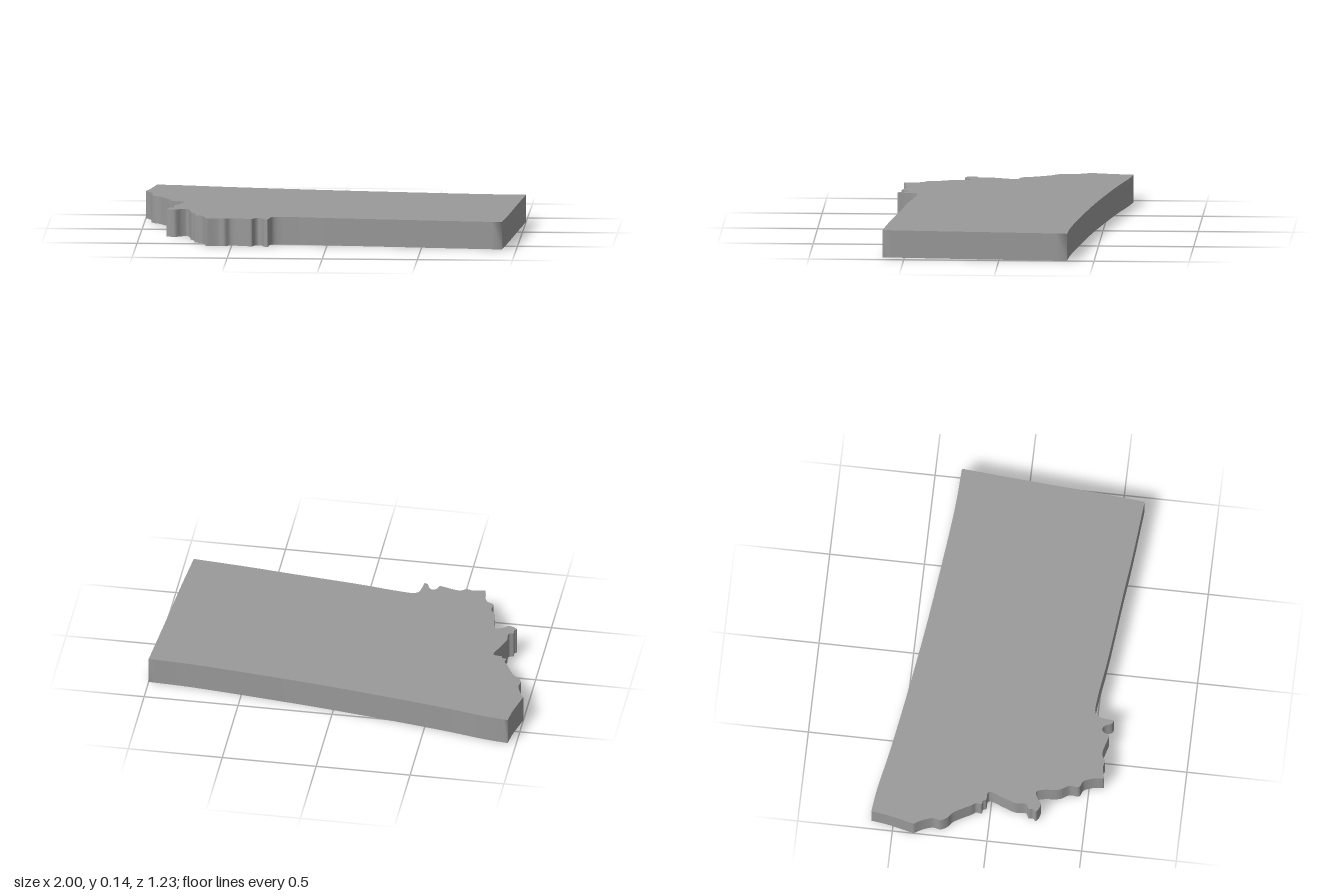
import * as THREE from 'three';

const THICKNESS = 0.145;

// Outline edges as [x, z]; each starts where the previous one ends
const northEdge = [[-0.83, -0.6], [-0.6, -0.555], [0, -0.46], [0.4, -0.41], [0.8, -0.368], [1, -0.358]];
const eastEdge = [[0.972, 0], [0.947, 0.35], [0.924, 0.616]];
const southEdge = [[0.62, 0.588], [0.4, 0.563], [0, 0.52], [-0.185, 0.494], [-0.27, 0.49], [-0.293, 0.505],
  [-0.303, 0.545], [-0.308, 0.594]];
const southwestEdge = [[-0.327, 0.584], [-0.342, 0.55], [-0.362, 0.537], [-0.38, 0.548], [-0.393, 0.576],
  [-0.425, 0.57], [-0.505, 0.553], [-0.537, 0.572], [-0.57, 0.565], [-0.635, 0.577]];
const westEdge = [[-0.645, 0.515], [-0.665, 0.471], [-0.698, 0.453], [-0.697, 0.403], [-0.724, 0.353],
  [-0.735, 0.267], [-0.75, 0.232], [-0.78, 0.24], [-0.815, 0.264], [-0.86, 0.242], [-0.848, 0.226], [-0.85, 0.203],
  [-0.825, 0.189], [-0.825, 0.13], [-0.805, 0.07], [-0.778, -0.012], [-0.792, -0.022], [-0.823, -0.024],
  [-0.83, -0.04], [-0.85, -0.045], [-0.848, -0.075], [-0.862, -0.095], [-0.88, -0.13], [-0.917, -0.192],
  [-0.945, -0.215], [-0.963, -0.25], [-0.957, -0.29], [-0.975, -0.345], [-1, -0.388]];
const northwestEdge = [[-0.98, -0.47], [-0.965, -0.54], [-0.955, -0.616]];

// Closed loop of points: sharp corners between edges, smooth curves along each
function outlinePoints() {
  const loop = [];
  let corner = [-0.955, -0.616];
  for (const edge of [northEdge, eastEdge, southEdge, southwestEdge, westEdge, northwestEdge]) {
    const knots = [corner, ...edge].map(([x, z]) => new THREE.Vector3(x, 0, z));
    const curve = new THREE.CatmullRomCurve3(knots, false, 'centripetal');
    const steps = edge.length * 6;
    for (let i = 1; i <= steps; i++) loop.push(curve.getPoint(i / steps));
    corner = edge[edge.length - 1];
  }
  return loop;
}

// Flat face over the outline; side is 1 for facing up, -1 for facing down
function capGeometry(loop, side) {
  const shape = new THREE.Shape(loop.map((p) => new THREE.Vector2(p.x, -p.z * side)));
  return new THREE.ShapeGeometry(shape).rotateX(-side * Math.PI / 2);
}

// Upright band around the outline, with normals shared all the way round
function wallGeometry(loop) {
  const positions = [];
  const indices = [];
  loop.forEach((p, i) => {
    const a = 2 * i;
    const b = 2 * ((i + 1) % loop.length);
    positions.push(p.x, 0, p.z, p.x, THICKNESS, p.z);
    indices.push(a, a + 1, b + 1, a, b + 1, b);
  });
  const geometry = new THREE.BufferGeometry();
  geometry.setAttribute('position', new THREE.Float32BufferAttribute(positions, 3));
  geometry.setIndex(indices);
  geometry.computeVertexNormals();
  return geometry;
}

export function createModel() {
  const group = new THREE.Group();
  group.name = 'mapSlab';
  const material = new THREE.MeshStandardMaterial({ color: 0x9a9a9a });
  const loop = outlinePoints();

  const add = (name, geometry, y) => {
    const mesh = new THREE.Mesh(geometry, material);
    mesh.name = name;
    mesh.position.y = y;
    group.add(mesh);
  };
  add('topFace', capGeometry(loop, 1), THICKNESS);
  add('bottomFace', capGeometry(loop, -1), 0);
  add('sideWall', wallGeometry(loop), 0);
  return group;
}
